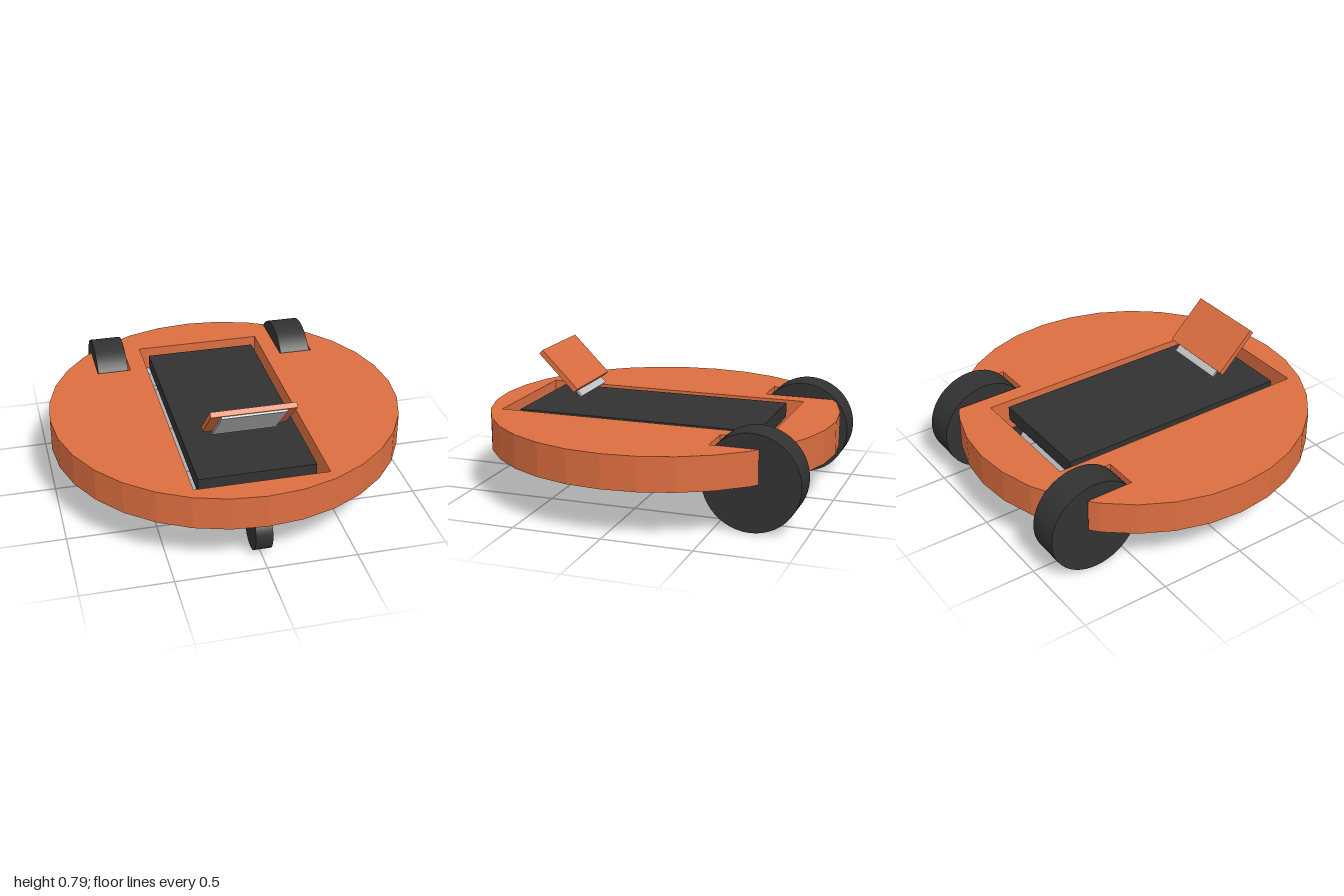
import * as THREE from 'three';

const mat = (name, color) => {
  const m = new THREE.MeshStandardMaterial({ color });
  m.name = name;
  return m;
};

export function createModel() {
  const orange = mat('orange', 0xdc6e40);
  const black = mat('black', 0x323232);
  const blue = mat('blue', 0x1026e4);
  const grey = mat('light grey', 0xc4c4c4);
  const green = mat('green', 0x286028);

  const model = new THREE.Group();
  model.name = 'roundRobot';

  const add = (name, geometry, material, x, y, z, parent = model) => {
    const mesh = new THREE.Mesh(geometry, material);
    mesh.name = name;
    mesh.position.set(x, y, z);
    parent.add(mesh);
    return mesh;
  };

  // Box given by its limits on each axis
  const block = (name, material, [x0, x1], [y0, y1], [z0, z1]) =>
    add(name, new THREE.BoxGeometry(x1 - x0, y1 - y0, z1 - z0), material,
      (x0 + x1) / 2, (y0 + y1) / 2, (z0 + z1) / 2);

  // Wheel with its axle along x
  const wheel = (name, radius, width, x, y, z, sides) => {
    const g = new THREE.CylinderGeometry(radius, radius, width, sides).rotateZ(Math.PI / 2);
    add(name, g, black, x, y, z);
  };

  // Disc body: 32-sided outline with two rear wheel slots and a long opening
  const outline = [];
  for (let k = 0; k < 32; k++) {
    const a = (k / 32) * Math.PI * 2;
    if (k === 5) {
      outline.push([0.665, 0.742], [0.665, 0.475], [0.468, 0.475], [0.468, 0.88]);
    } else if (k === 11) {
      outline.push([-0.462, 0.882], [-0.462, 0.475], [-0.658, 0.475], [-0.658, 0.748]);
    } else {
      outline.push([Math.cos(a), Math.sin(a)]);
    }
  }
  const toPoints = (list) => list.map(([x, y]) => new THREE.Vector2(x, y));
  const shape = new THREE.Shape(toPoints(outline));
  shape.holes.push(new THREE.Path(toPoints(
    [[-0.363, -0.855], [-0.363, 0.728], [0.373, 0.728], [0.373, -0.855]])));
  const body = new THREE.ExtrudeGeometry(shape, { depth: 0.19, bevelEnabled: false });
  body.rotateX(-Math.PI / 2);
  add('discBody', body, orange, 0, 0.27, 0);

  // Deck plate and battery in the opening
  block('deckPlate', black, [-0.32, 0.328], [0.37, 0.455], [-0.637, 0.763]);
  block('battery', blue, [-0.183, 0.188], [0.085, 0.295], [-0.39, 0.26]);

  // Circuit board and the sensor strip under the rear
  block('circuitBoard', green, [-0.255, 0.262], [0.3, 0.36], [-0.725, -0.677]);
  block('sensorStrip', green, [-0.07, 0.14], [0.265, 0.275], [-0.94, -0.91]);

  // Drive wheels and their motors
  for (const s of [1, -1]) {
    const side = s > 0 ? 'left' : 'right';
    wheel(side + 'DriveWheel', 0.27, 0.18, s * 0.566 + 0.003, 0.271, -0.7, 48);
    const xs = [s * 0.255 + 0.003, s * 0.478 + 0.003].sort((a, b) => a - b);
    block(side + 'Motor', grey, xs, [0.23, 0.32], [-0.728, -0.65]);
  }

  // Front caster
  wheel('frontCaster', 0.123, 0.094, 0.003, 0.132, 0.8, 40);

  // Tilted screen: backing board with a thin panel on the front
  const screen = new THREE.Group();
  screen.name = 'screen';
  screen.position.set(0.003, 0.6725, 0.563);
  screen.rotation.x = Math.PI / 4;
  model.add(screen);
  add('screenBacking', new THREE.BoxGeometry(0.466, 0.3, 0.03), orange, 0, 0, 0, screen);
  add('screenPanel', new THREE.BoxGeometry(0.356, 0.33, 0.012), grey, 0.003, -0.026, 0.021, screen);

  return model;
}
